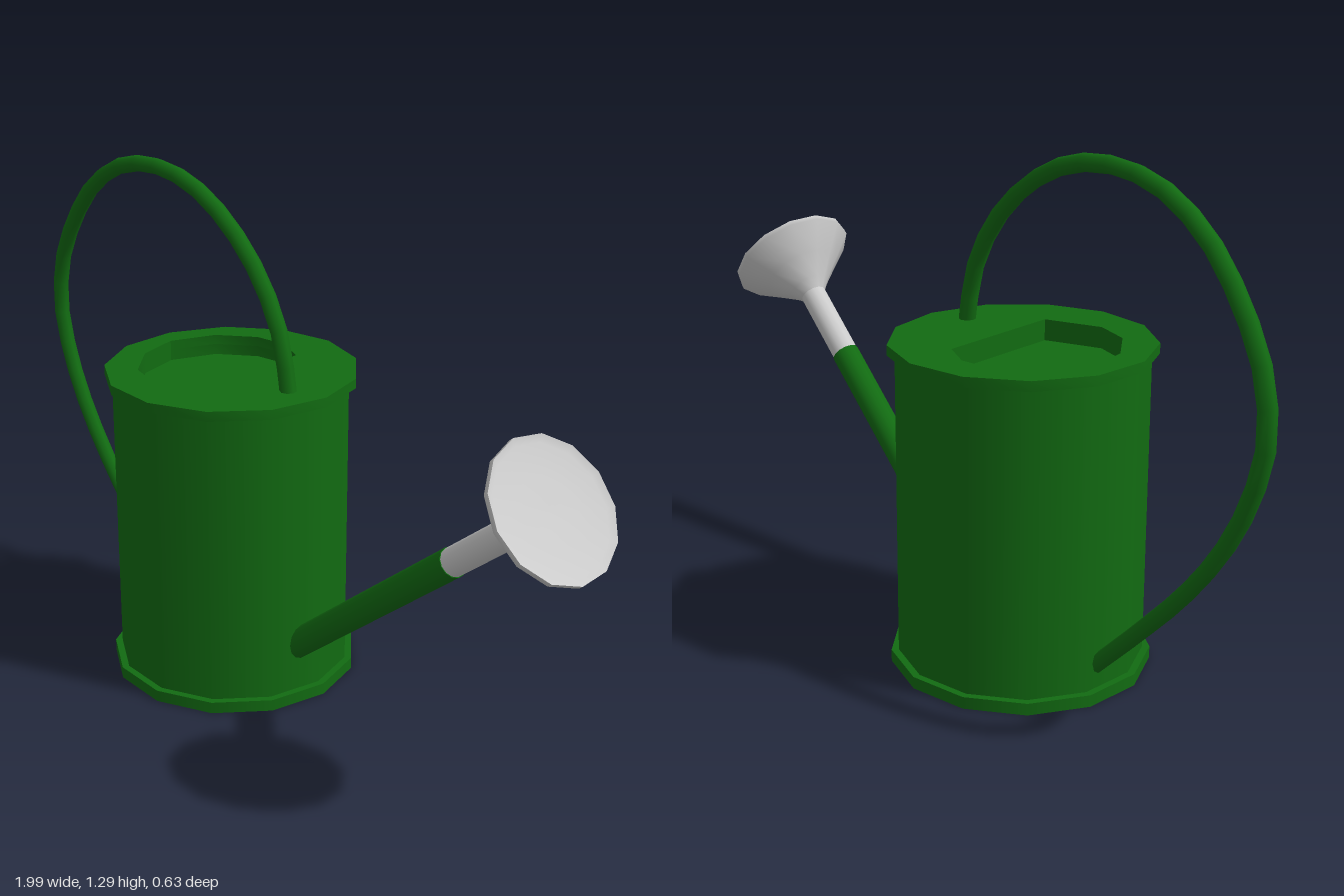
import * as THREE from 'three';
import { toCreasedNormals } from 'three/addons/utils/BufferGeometryUtils.js';

const SIDES = 13;
const BODY_X = -0.195;
const green = new THREE.MeshStandardMaterial({ color: 0x126b12 });
const grey = new THREE.MeshStandardMaterial({ color: 0xcccccc, side: THREE.DoubleSide });

function add(parent, name, geometry, material, x = 0, y = 0, z = 0) {
  const mesh = new THREE.Mesh(geometry, material);
  mesh.name = name;
  mesh.position.set(x, y, z);
  parent.add(mesh);
  return mesh;
}

// Regular outline matching the can's sides
function ring(radius) {
  return Array.from({ length: SIDES }, (_, i) => {
    const a = Math.PI + (i / SIDES) * Math.PI * 2;
    return new THREE.Vector2(radius * Math.sin(a), radius * Math.cos(a));
  });
}

// Horizontal plate with the filling hole, its top at y = 0
function holedPlate(radius, depth, hole) {
  const shape = new THREE.Shape(ring(radius));
  shape.holes.push(new THREE.Path(hole));
  const plate = new THREE.ExtrudeGeometry(shape, { depth, bevelEnabled: false });
  plate.rotateX(Math.PI / 2);
  return toCreasedNormals(plate, 0.6);
}

const drum = (radius, height, open) =>
  new THREE.CylinderGeometry(radius, radius, height, SIDES, 1, open, Math.PI);

export function createModel() {
  const model = new THREE.Group();
  model.name = 'wateringCan';

  // Can body with its foot rim
  const can = new THREE.Group();
  can.name = 'can';
  can.position.x = BODY_X;
  model.add(can);
  add(can, 'body', drum(0.302, 0.77, true), green, 0, 0.4, 0);
  add(can, 'footRim', drum(0.32, 0.03, false), green, 0, 0.015, 0);

  // Lid with a D-shaped sunken opening
  const hole = [
    [-0.26, 0.0], [-0.225, -0.12], [-0.14, -0.195], [-0.05, -0.213], [0.035, -0.18],
    [0.105, 0.15], [-0.03, 0.217], [-0.13, 0.195], [-0.22, 0.11],
  ].map(([x, z]) => new THREE.Vector2(x, z));
  add(can, 'topRim', holedPlate(0.32, 0.025, hole), green, 0, 0.81, 0);
  add(can, 'openingWall', holedPlate(0.295, 0.03, hole), green, 0, 0.785, 0);
  const floor = new THREE.CircleGeometry(0.295, SIDES).rotateX(-Math.PI / 2);
  add(can, 'openingFloor', floor, green, 0, 0.757, 0);

  // Spout assembly, modelled upright along y and then tilted
  const spout = new THREE.Group();
  spout.name = 'spout';
  spout.position.set(0.06, 0.13, 0.012);
  const axis = new THREE.Vector3(0.777, 0.629, 0);
  spout.quaternion.setFromUnitVectors(new THREE.Vector3(0, 1, 0), axis);
  model.add(spout);
  add(spout, 'spoutPipe', new THREE.CylinderGeometry(0.037, 0.037, 0.72, SIDES), green, 0, 0.35, 0);
  add(spout, 'spoutNeck', new THREE.CylinderGeometry(0.035, 0.035, 0.25, SIDES), grey, 0, 0.825, 0);

  // Flared sprinkler head with a slightly dished face
  const flare = [[0.035, 0.92], [0.055, 0.945], [0.105, 0.995], [0.167, 1.055], [0.167, 1.068]];
  const face = [[0.167, 1.068], [0.15, 1.06], [0.08, 1.052], [0, 1.05]];
  for (const [name, profile] of [['sprinklerFlare', flare], ['sprinklerFace', face]]) {
    const points = profile.map(([r, y]) => new THREE.Vector2(r, y));
    add(spout, name, new THREE.LatheGeometry(points, SIDES), grey);
  }

  // Looping handle from the lid round to the lower back
  const path = [
    [0.035, 0.78], [0.0, 0.94], [-0.08, 1.07], [-0.2, 1.175], [-0.34, 1.243], [-0.495, 1.265],
    [-0.65, 1.24], [-0.79, 1.16], [-0.895, 1.04], [-0.96, 0.92], [-0.98, 0.79],
    [-0.95, 0.66], [-0.88, 0.52], [-0.77, 0.375], [-0.63, 0.23], [-0.47, 0.075],
  ].map(([x, y]) => new THREE.Vector3(x, y, 0.003));
  const curve = new THREE.CatmullRomCurve3(path);
  add(model, 'handle', new THREE.TubeGeometry(curve, 28, 0.021, 8, false), green);

  return model;
}
